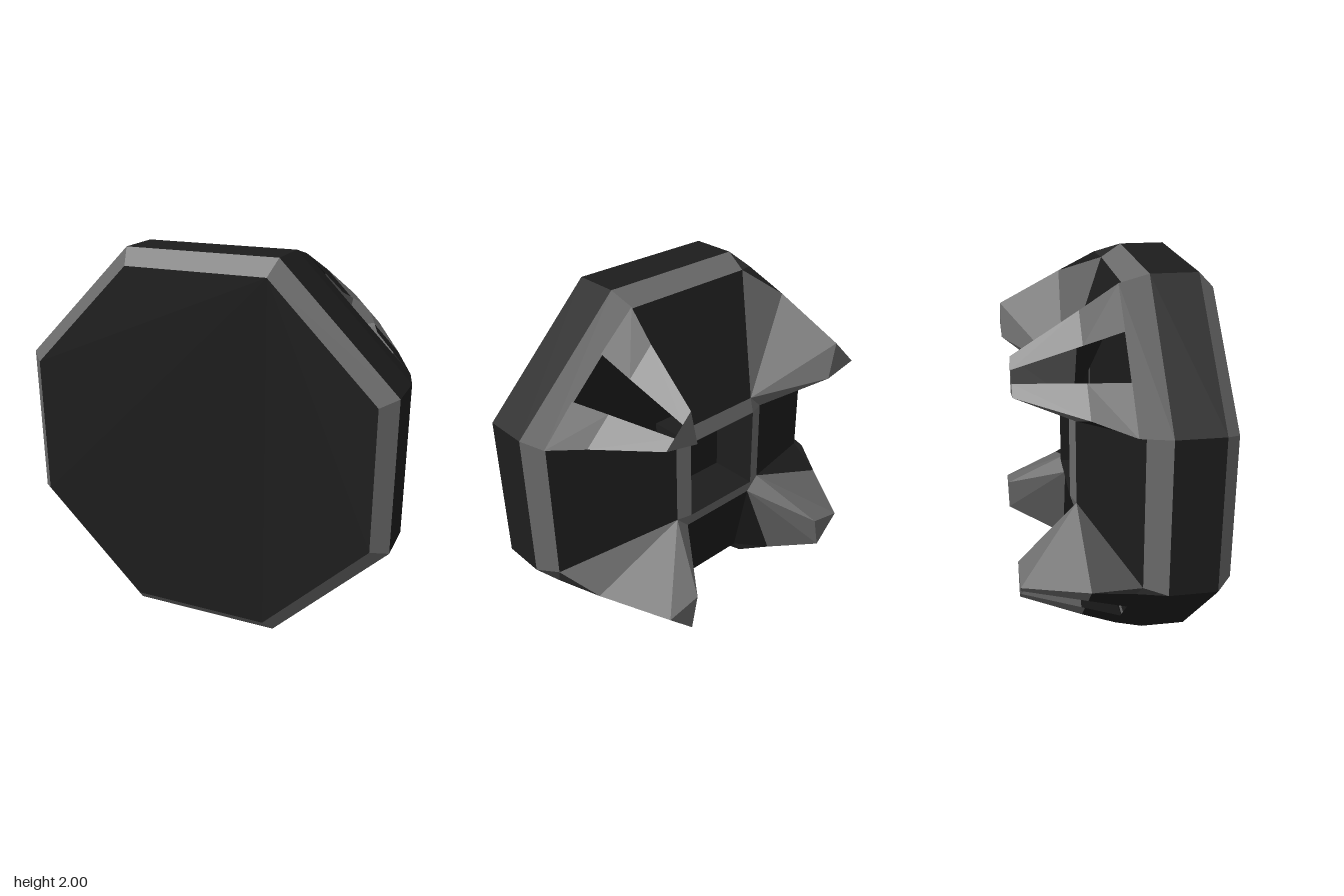
import * as THREE from 'three';

export function createModel() {
  const model = new THREE.Group();
  model.name = 'clawedOctagonBlock';
  // The claws are open shells, so both sides of the walls show
  const darkPanel = new THREE.MeshStandardMaterial({ color: 0x1d1d1d, side: THREE.DoubleSide });
  darkPanel.name = 'dark panel';
  const greyTrim = new THREE.MeshStandardMaterial({ color: 0x6a6a6a, side: THREE.DoubleSide });
  greyTrim.name = 'grey trim';

  // Flat polygon as a fan, turned so it faces the given direction
  const poly = (out, pts, dir) => {
    const v = pts.map((p) => new THREE.Vector3(...p));
    const facing = new THREE.Vector3(...dir);
    for (let i = 1; i < v.length - 1; i++) {
      const b = v[i].clone().sub(v[0]);
      const c = v[i + 1].clone().sub(v[0]);
      const flip = b.cross(c).dot(facing) < 0;
      for (const p of flip ? [v[0], v[i + 1], v[i]] : [v[0], v[i], v[i + 1]]) out.push(p.x, p.y, p.z);
    }
  };

  const addMesh = (parent, name, material, build) => {
    const out = [];
    build(out);
    const geo = new THREE.BufferGeometry();
    geo.setAttribute('position', new THREE.Float32BufferAttribute(out, 3));
    geo.computeVertexNormals();
    const mesh = new THREE.Mesh(geo, material);
    mesh.name = name;
    parent.add(mesh);
  };

  const swap = ([x, y, z]) => [y, x, z];
  // Strip across one straight side, from profile point a to b, each [half width, distance, z]
  const strip = (out, a, b, dir) =>
    poly(out, [a, b, [-b[0], b[1], b[2]], [-a[0], a[1], a[2]]], dir);
  // Strip across the diagonal corner
  const corner = (out, a, b, dir) => poly(out, [a, b, swap(b), swap(a)], dir);
  // Polygon plus its mirror image across the diagonal
  const both = (out, pts, dir) => {
    poly(out, pts, dir);
    poly(out, pts.map(swap), swap(dir));
  };
  const octagon = (w, r, z) =>
    [[w, r, z], [r, w, z], [r, -w, z], [w, -r, z], [-w, -r, z], [-r, -w, z], [-r, w, z], [-w, r, z]];

  // Profile points along the edge between a side and its corner
  const front = [0.37, 0.92, 0.5];
  const rimFront = [0.4, 1, 0.42];
  const rimBack = [0.4, 1, 0.18];
  const slopeTop = [0.39, 0.93, 0.07];
  const slopeEnd = [0.235, 0.31, -0.17];
  const lip = [0.23, 0.23, -0.195];
  const floor = [0.23, 0.23, 0.08];
  // Claw points: outer edge, slot edge, tip
  const outerLow = [0.4, 0.96, 0.03];
  const outerMid = [0.45, 0.85, -0.165];
  const outerTip = [0.51, 0.66, -0.5];
  const slotLow = [0.595, 0.78, 0.03];
  const slotMid = [0.583, 0.717, -0.165];
  const slotTip = [0.56, 0.61, -0.5];
  const innerTip = [0.47, 0.47, -0.5];

  // Plain front cover and the plate inside the shell
  addMesh(model, 'frontCover', darkPanel, (o) => poly(o, octagon(0.37, 0.92, 0.5), [0, 0, 1]));
  addMesh(model, 'innerPlate', darkPanel, (o) => poly(o, octagon(0.38, 0.92, 0.08), [0, 0, -1]));

  for (let i = 0; i < 4; i++) {
    const quarter = new THREE.Group();
    quarter.name = 'quarter' + (i + 1);
    quarter.rotation.z = (i * Math.PI) / 2;
    model.add(quarter);

    // Straight side: rim, sloping panel, socket wall
    addMesh(quarter, 'sidePanel', darkPanel, (o) => {
      strip(o, rimFront, rimBack, [0, 1, 0]);
      strip(o, slopeTop, slopeEnd, [0, 1, -1]);
      strip(o, lip, floor, [0, -1, 0]);
    });
    addMesh(quarter, 'sideTrim', greyTrim, (o) => {
      strip(o, front, rimFront, [0, 1, 1]);
      strip(o, rimBack, slopeTop, [0, 1, -1]);
      strip(o, slopeEnd, lip, [0, 1, -1]);
    });

    // Diagonal corner: rim and dark claw base around the open slot
    addMesh(quarter, 'clawBase', darkPanel, (o) => {
      corner(o, rimFront, rimBack, [1, 1, 0]);
      corner(o, rimBack, outerLow, [1, 1, -0.3]);
      both(o, [outerLow, slotLow, slotMid, outerMid], [1, 1, 0]);
      both(o, [slopeTop, rimBack, outerLow, outerMid, slopeEnd], [-1, 0.2, -0.5]);
    });
    addMesh(quarter, 'cornerTrim', greyTrim, (o) => corner(o, front, rimFront, [1, 1, 1]));

    // Grey claw with a flat tip
    addMesh(quarter, 'claw', greyTrim, (o) => {
      both(o, [outerMid, slotMid, slotTip, outerTip], [1, 1, 0]);
      both(o, [slopeEnd, outerMid, outerTip, innerTip], [-1, 0.2, -0.5]);
      poly(o, [slopeEnd, swap(slopeEnd), innerTip], [-1, -1, -1]);
      poly(o, [slopeEnd, swap(slopeEnd), lip], [0, 0, -1]);
      poly(o, [innerTip, outerTip, slotTip, swap(slotTip), swap(outerTip)], [0, 0, -1]);
    });
  }

  model.children.forEach((c) => { c.position.y = 1; });
  return model;
}
